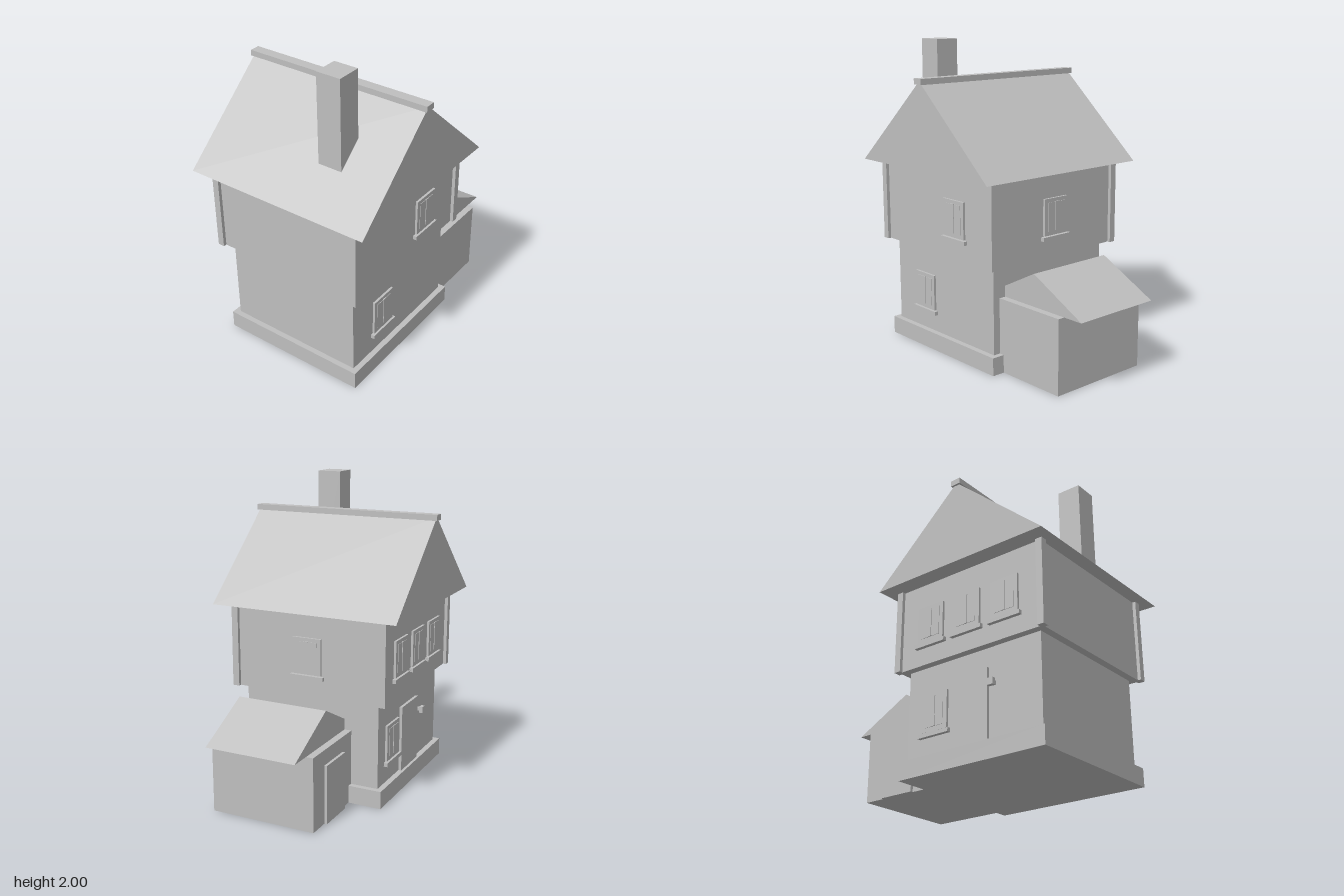
import * as THREE from 'three';

export function createModel() {
  const house = new THREE.Group();
  house.name = 'house';
  const grey = new THREE.MeshStandardMaterial({ color: 0xbfbfbf });
  grey.name = 'plain grey';

  function add(parent, name, geometry) {
    const mesh = new THREE.Mesh(geometry, grey);
    mesh.name = name;
    parent.add(mesh);
    return mesh;
  }

  // Box given by its low and high limits on each axis
  function box(name, [x0, x1], [y0, y1], [z0, z1], parent = house) {
    const mesh = add(parent, name, new THREE.BoxGeometry(x1 - x0, y1 - y0, z1 - z0));
    mesh.position.set((x0 + x1) / 2, (y0 + y1) / 2, (z0 + z1) / 2);
    return mesh;
  }

  // Solid triangular roof with its ridge along z
  function gableRoof(name, [x0, x1], [y0, y1], [z0, z1]) {
    const shape = new THREE.Shape();
    shape.moveTo(x0, y0);
    shape.lineTo(x1, y0);
    shape.lineTo((x0 + x1) / 2, y1);
    shape.closePath();
    const geometry = new THREE.ExtrudeGeometry(shape, { depth: z1 - z0, bevelEnabled: false });
    add(house, name, geometry).position.z = z0;
  }

  // Window facing +z, with its origin on the wall at the foot of the frame
  function windowUnit(name, x, y, z, turn) {
    const unit = new THREE.Group();
    unit.name = name;
    box('windowFrame', [-0.0975, 0.0975], [0, 0.235], [-0.01, 0.015], unit);
    box('windowPane', [-0.07, 0.07], [0.027, 0.21], [0, 0.018], unit);
    box('windowMullion', [-0.01, 0.01], [0.027, 0.213], [0, 0.022], unit);
    box('windowSill', [-0.115, 0.115], [-0.03, -0.005], [-0.01, 0.025], unit);
    unit.position.set(x, y, z);
    unit.rotation.y = turn;
    house.add(unit);
  }

  // Main body: plinth, ground floor and overhanging upper floor
  box('plinth', [-0.78, 0.265], [0, 0.115], [-0.5, 0.5]);
  box('groundFloor', [-0.745, 0.23], [0.1, 0.68], [-0.463, 0.463]);
  box('upperFloor', [-0.793, 0.278], [0.675, 1.22], [-0.512, 0.512]);

  // Corner posts of the upper floor
  for (const x of [-0.793, 0.278]) {
    for (const z of [-0.512, 0.512]) {
      box('cornerPost', [x - 0.022, x + 0.022], [0.675, 1.22], [z - 0.022, z + 0.022]);
    }
  }

  // Main roof with ridge beam and chimney
  gableRoof('mainRoof', [-0.88, 0.37], [1.215, 1.768], [-0.627, 0.627]);
  box('ridgeBeam', [-0.29, -0.222], [1.748, 1.785], [-0.64, 0.64]);
  box('chimney', [-0.643, -0.482], [1.25, 2], [0.152, 0.313]);

  // Side annex
  box('annex', [0.15, 0.743], [0, 0.472], [-0.28, 0.415]);
  gableRoof('annexRoof', [0.094, 0.88], [0.472, 0.675], [-0.233, 0.37]);
  box('annexDoor', [0.355, 0.602], [0, 0.375], [-0.298, -0.27]);

  // Front door and lamp, on the rear wall
  box('frontDoor', [-0.38, -0.11], [0.115, 0.55], [-0.482, -0.45]);
  box('lamp', [-0.44, -0.4], [0.425, 0.467], [-0.51, -0.485]);
  box('lampBracket', [-0.43, -0.41], [0.435, 0.457], [-0.49, -0.45]);

  // Windows
  windowUnit('frontLowerWindow', -0.445, 0.26, 0.463, 0);
  windowUnit('frontUpperWindow', -0.072, 0.815, 0.512, 0);
  windowUnit('sideUpperWindow', 0.278, 0.815, 0, Math.PI / 2);
  windowUnit('rearLowerWindow', 0.02, 0.26, -0.463, Math.PI);
  for (const x of [0.022, -0.257, -0.536]) {
    windowUnit('rearUpperWindow', x, 0.815, -0.512, Math.PI);
  }

  return house;
}
